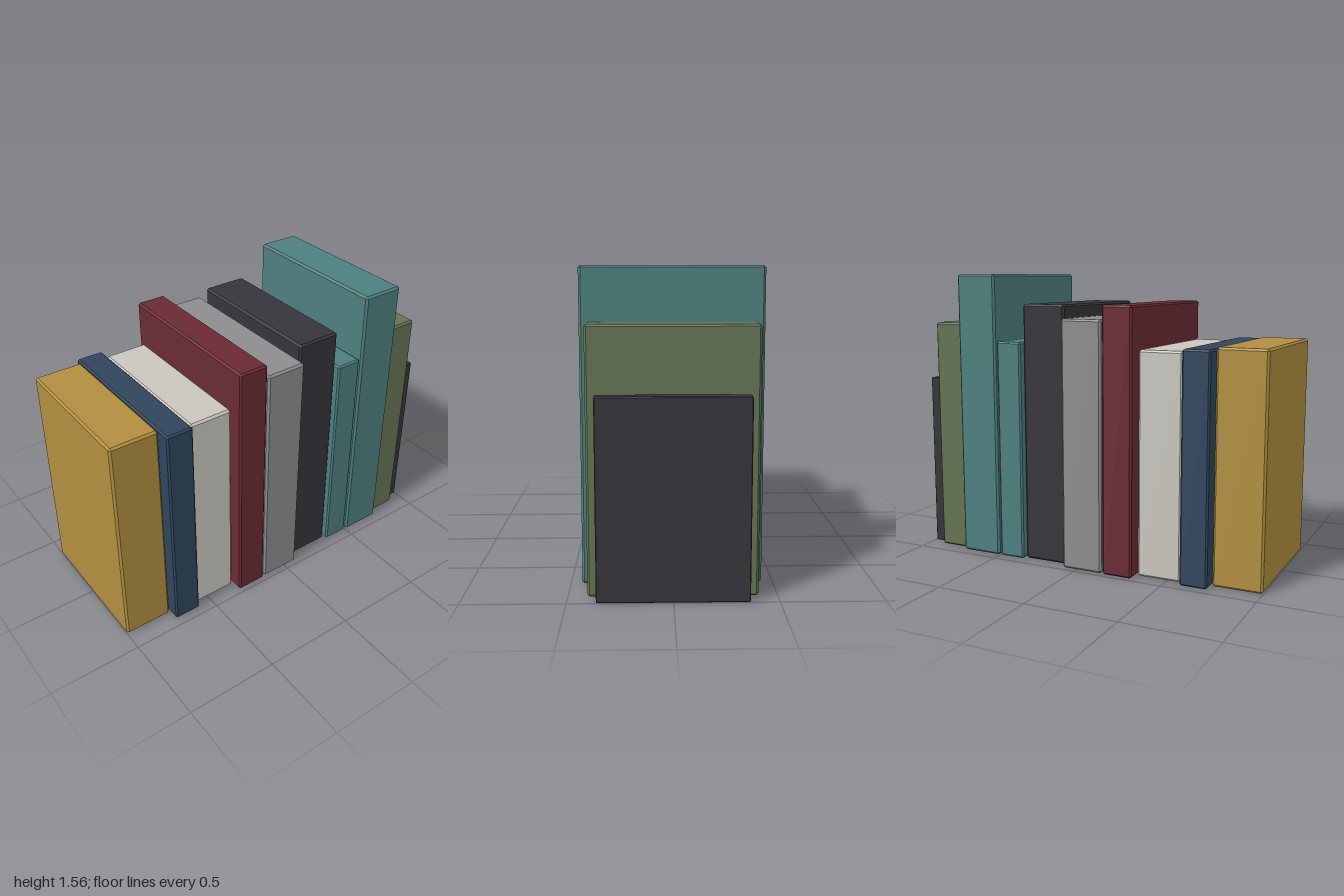
import * as THREE from 'three';
import { ConvexGeometry } from 'three/addons/geometries/ConvexGeometry.js';

// Box with a flat chamfer on every edge, standing on y = 0
function chamferedBox(w, h, d, c) {
  const half = [w / 2, h / 2, d / 2];
  const points = [];
  for (const sx of [-1, 1]) for (const sy of [-1, 1]) for (const sz of [-1, 1]) {
    const s = [sx, sy, sz];
    // each corner becomes three points, one on each adjoining face
    for (let axis = 0; axis < 3; axis++) {
      points.push(new THREE.Vector3(...s.map((v, i) => v * (half[i] - (i === axis ? 0 : c)))));
    }
  }
  return new ConvexGeometry(points).translate(0, h / 2, 0);
}

export function createModel() {
  const group = new THREE.Group();
  group.name = 'bookRow';

  const materials = {};
  const colors = {
    ochre: 0xb08f3e, navy: 0x30465c, ivory: 0xc9c6bf, burgundy: 0x6a2b33,
    grey: 0x8c8d8f, charcoal: 0x36353b, teal: 0x4d807e, olive: 0x657453,
  };
  for (const [name, color] of Object.entries(colors)) {
    materials[name] = new THREE.MeshStandardMaterial({ color });
    materials[name].name = name;
  }

  // Books in order: colour, left edge, right edge, height, depth
  const books = [
    ['ochre', -1.0, -0.737, 1.21, 0.785],
    ['navy', -0.729, -0.581, 1.2, 0.905],
    ['ivory', -0.574, -0.333, 1.185, 0.83],
    ['burgundy', -0.324, -0.158, 1.407, 0.955],
    ['grey', -0.149, 0.081, 1.333, 0.945],
    ['charcoal', 0.09, 0.34, 1.403, 0.84],
    ['teal', 0.349, 0.495, 1.2, 0.88],
    ['teal', 0.504, 0.741, 1.56, 0.888],
    ['olive', 0.749, 0.92, 1.293, 0.815],
    ['charcoal', 0.928, 1.0, 0.972, 0.725],
  ];
  books.forEach(([color, x0, x1, height, depth], i) => {
    const width = x1 - x0;
    const chamfer = Math.min(0.011, width * 0.06);
    const book = new THREE.Mesh(chamferedBox(width, height, depth, chamfer), materials[color]);
    book.name = `${color}Book${i + 1}`;
    book.position.x = (x0 + x1) / 2;
    group.add(book);
  });

  return group;
}
